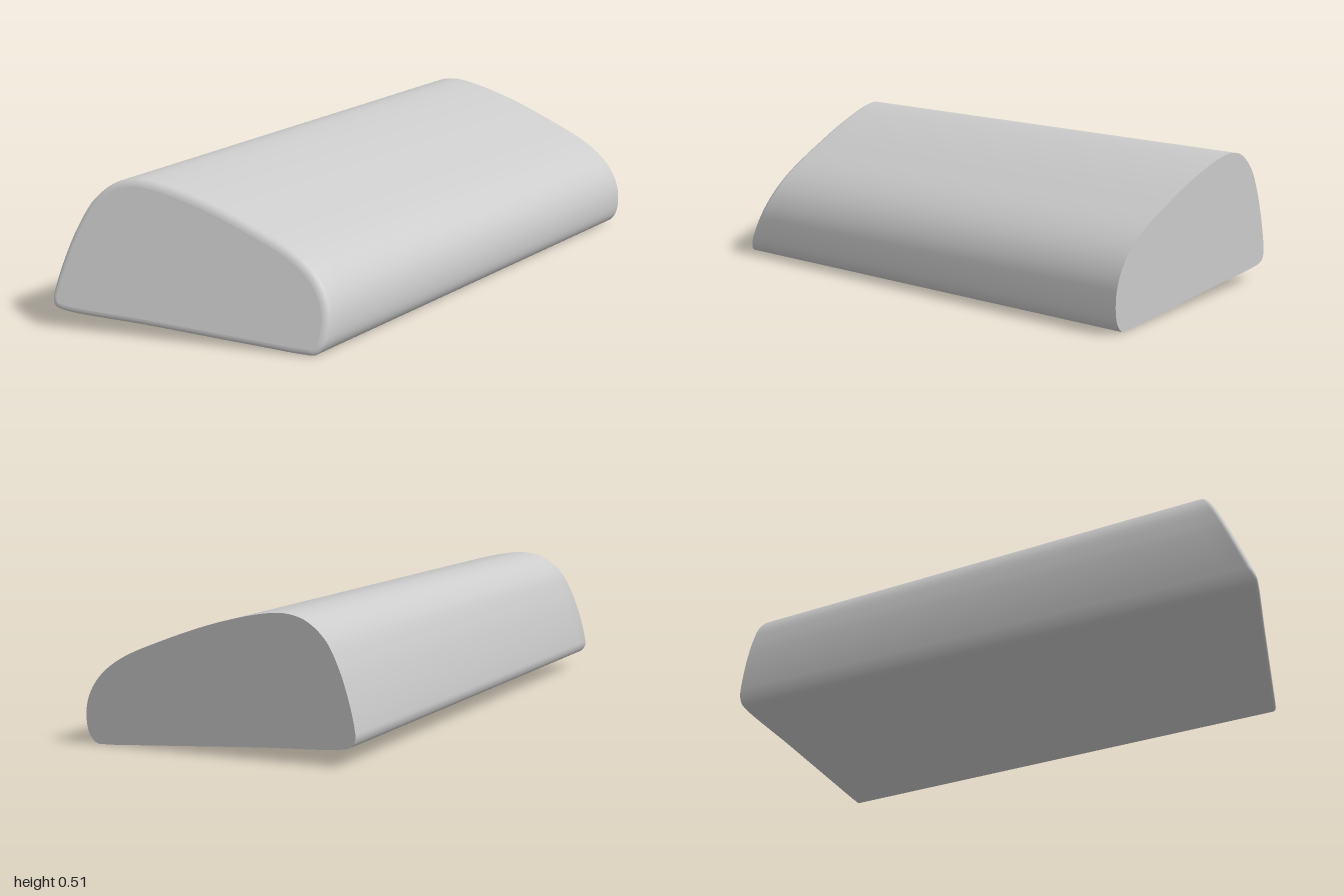
import * as THREE from 'three';

// Front cross-section, counter-clockwise from the lower left corner
const profile = [
  [-0.82, 0.064], [-0.5, 0.043], [-0.1, 0.015], [0.07, 0.004], [0.11, 0.006], [0.14, 0.04],
  [0.15, 0.11], [0.135, 0.18], [0.09, 0.25], [0.007, 0.315], [-0.177, 0.397], [-0.36, 0.462],
  [-0.53, 0.503], [-0.61, 0.508], [-0.68, 0.489], [-0.75, 0.43], [-0.797, 0.342],
  [-0.833, 0.236], [-0.856, 0.135], [-0.859, 0.1], [-0.847, 0.075],
];
const N = 160, R = 0.022;

// Slanted front plane, and the skewed back plane
const frontZ = (y) => 1.005 - 0.4 * y;
const backX = (x) => x + 0.73 - 0.025 * (x + 0.86);
const backZ = (x) => -1 + 0.264 * (backX(x) + 0.13);

const curve = new THREE.CatmullRomCurve3(
  profile.map(([x, y]) => new THREE.Vector3(x, y, 0)), true, 'centripetal');

// One ring of points, pulled inward by inset and slid back along the sweep
function ring(inset, slide, full = false) {
  return Array.from({ length: N }, (_, i) => {
    const p = curve.getPoint(i / N), t = curve.getTangent(i / N);
    const x = p.x - t.y * inset, y = p.y + t.x * inset;
    const f = full ? 1 : slide / 2;
    return new THREE.Vector3(
      THREE.MathUtils.lerp(x, backX(x), f), y,
      THREE.MathUtils.lerp(frontZ(y), backZ(x), f));
  });
}

function makeGeometry(points, index) {
  const g = new THREE.BufferGeometry().setFromPoints(points);
  g.setIndex(index);
  g.computeVertexNormals();
  return g;
}

// Smooth skin through successive rings, front to back
function skin(rings) {
  const index = [];
  for (let j = 0; j < rings.length - 1; j++) {
    for (let i = 0; i < N; i++) {
      const a = j * N + i, b = j * N + (i + 1) % N;
      index.push(a, a + N, b, b, a + N, b + N);
    }
  }
  return makeGeometry(rings.flat(), index);
}

// Flat end face as a fan around the centre
function cap(loop, flip) {
  const centre = loop.reduce((s, p) => s.add(p), new THREE.Vector3()).divideScalar(N);
  const index = [];
  for (let i = 0; i < N; i++) {
    const k = (i + 1) % N;
    index.push(N, flip ? k : i, flip ? i : k);
  }
  return makeGeometry([...loop, centre], index);
}

export function createModel() {
  const group = new THREE.Group();
  group.name = 'slantedWedgeBlock';
  const material = new THREE.MeshStandardMaterial({ color: 0xcccccc });
  const add = (name, geometry) => {
    const mesh = new THREE.Mesh(geometry, material);
    mesh.name = name;
    group.add(mesh);
  };

  // Rounded front rim followed by the long straight body
  const rings = [];
  for (let k = 0; k <= 5; k++) {
    const a = (k / 5) * Math.PI / 2;
    rings.push(ring(R * (1 - Math.sin(a)), R * (1 - Math.cos(a))));
  }
  rings.push(ring(0, 0.1), ring(0, 0, true));

  add('body', skin(rings));
  add('frontFace', cap(rings[0], false));
  add('backFace', cap(rings[rings.length - 1], true));
  return group;
}
